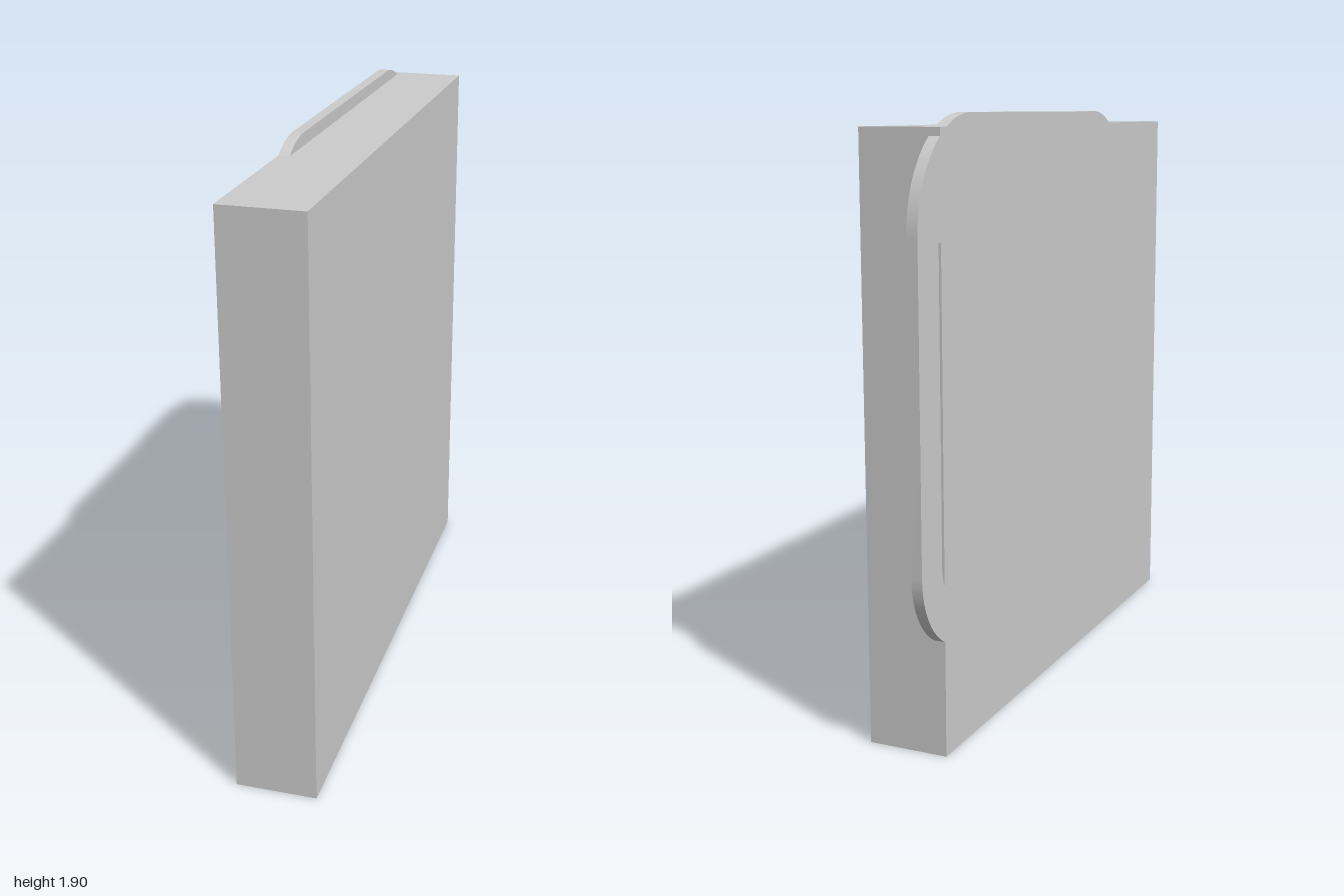
import * as THREE from 'three';
import { toCreasedNormals } from 'three/addons/utils/BufferGeometryUtils.js';

const HALF_W = 0.13, TOP = 1.865, BACK = -0.86, PLATE = 0.035;

export function createModel() {
  const group = new THREE.Group();
  const material = new THREE.MeshStandardMaterial({ color: 0xcccccc });

  function add(name, geometry) {
    const mesh = new THREE.Mesh(geometry, material);
    mesh.name = name;
    group.add(mesh);
  }

  // Extrudes a (z, y) outline into a thin plate flush with the -x side
  function addPlate(name, shape) {
    const geo = new THREE.ExtrudeGeometry(shape, { depth: PLATE, bevelEnabled: false, curveSegments: 20 });
    geo.rotateY(-Math.PI / 2);
    geo.translate(PLATE - HALF_W, 0, 0);
    add(name, toCreasedNormals(geo, 0.5));
  }

  // Solid slab body
  const body = new THREE.BoxGeometry(HALF_W * 2, TOP, 1 - BACK);
  body.translate(0, TOP / 2, (1 + BACK) / 2);
  add('body', body);

  // Rounded corners of the plate: centre and radius in (z, y)
  const big = { z: -0.66, y: 1.565, r: 0.34 };
  const low = { z: -0.73, y: 0.6, r: 0.27, inner: 0.145 };
  const front = { z: 0.32, y: 1.635, r: 0.27 };

  // Low rail along the top edge, tapering into the body at both ends
  const rail = new THREE.Shape();
  rail.absarc(front.z, front.y, front.r, Math.asin((TOP - front.y) / front.r), Math.PI / 2, false);
  rail.absarc(big.z, big.y, big.r, Math.PI / 2, Math.PI - Math.asin((TOP - big.y) / big.r), false);
  rail.closePath();
  addPlate('topRail', rail);

  // Handle behind the body, with a narrow slot between the two
  const handle = new THREE.Shape();
  const meet = (r) => 2 * Math.PI - Math.acos((BACK - low.z) / r);
  handle.absarc(big.z, big.y, big.r, Math.acos((BACK - big.z) / big.r), Math.PI, false);
  handle.absarc(low.z, low.y, low.r, Math.PI, meet(low.r), false);
  handle.absarc(low.z, low.y, low.inner, meet(low.inner), Math.PI, true);
  handle.lineTo(low.z - low.inner, 1.545);
  handle.lineTo(BACK, 1.545);
  handle.closePath();
  addPlate('backHandle', handle);

  return group;
}
